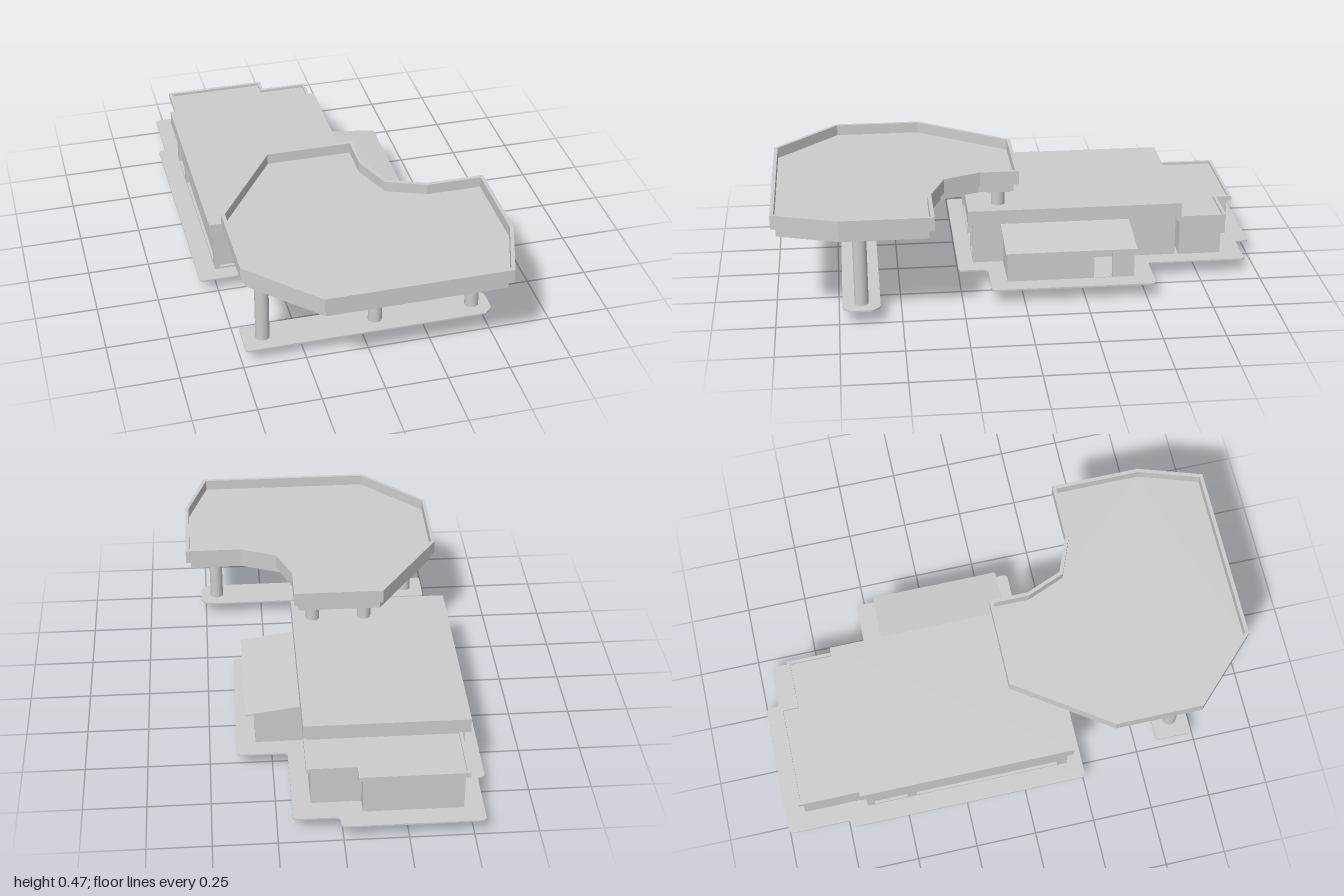
import * as THREE from 'three';

const material = new THREE.MeshStandardMaterial({ color: 0xcccccc, flatShading: true });
const smooth = new THREE.MeshStandardMaterial({ color: 0xcccccc });

function add(parent, name, geometry, mat = material) {
  const mesh = new THREE.Mesh(geometry, mat);
  mesh.name = name;
  parent.add(mesh);
  return mesh;
}

// Box given by its x, y and z ranges
function box(parent, name, [x0, x1], [y0, y1], [z0, z1]) {
  const mesh = add(parent, name, new THREE.BoxGeometry(x1 - x0, y1 - y0, z1 - z0));
  mesh.position.set((x0 + x1) / 2, (y0 + y1) / 2, (z0 + z1) / 2);
  return mesh;
}

// Move every edge of an outline inwards by d
function inset(points, d) {
  const area = points.reduce((sum, [x, y], i) => {
    const [u, v] = points[(i + 1) % points.length];
    return sum + x * v - u * y;
  }, 0);
  const s = Math.sign(area);
  return points.map((p, i) => {
    const a = points[(i + points.length - 1) % points.length];
    const b = points[(i + 1) % points.length];
    const normal = (p, q) => new THREE.Vector2(-(q[1] - p[1]) * s, (q[0] - p[0]) * s).normalize();
    const n = normal(a, p), m = normal(p, b);
    const k = d / (1 + n.dot(m));
    return [p[0] + (n.x + m.x) * k, p[1] + (n.y + m.y) * k];
  });
}

// Outline with optional rounded corners
function outline(points, r = 0) {
  const v = points.map(([x, y]) => new THREE.Vector2(x, y));
  if (!r) return new THREE.Shape(v);
  const shape = new THREE.Shape();
  v.forEach((p, i) => {
    const toward = q => p.clone().add(q.clone().sub(p).setLength(r));
    const a = toward(v[(i + v.length - 1) % v.length]);
    const b = toward(v[(i + 1) % v.length]);
    if (i) shape.lineTo(a.x, a.y); else shape.moveTo(a.x, a.y);
    shape.quadraticCurveTo(p.x, p.y, b.x, b.y);
  });
  shape.closePath();
  return shape;
}

// Horizontal slab from an (x, z) outline, between two heights
function slab(parent, name, shape, y0, y1) {
  const g = new THREE.ExtrudeGeometry(shape, { depth: y1 - y0, bevelEnabled: false, curveSegments: 4 });
  g.rotateX(Math.PI / 2).translate(0, y1, 0);
  return add(parent, name, g);
}

// Flat roof with a raised rim around it
function tray(parent, name, points, y0, floor, y1, rim) {
  slab(parent, name + 'Deck', outline(inset(points, rim)), y0, floor);
  const ring = outline(points);
  ring.holes.push(outline(inset(points, rim)));
  slab(parent, name + 'Rim', ring, y0, y1);
}

const rect = (x0, x1, y0, y1) => [[x0, y0], [x1, y0], [x1, y1], [x0, y1]];

// Upright wall sheet facing +z with rectangular openings, at depth t
function wall(parent, name, [u0, u1], [y0, y1], openings, t) {
  const shape = outline(rect(u0, u1, y0, y1));
  openings.forEach(o => shape.holes.push(outline(rect(...o))));
  return add(parent, name, new THREE.ExtrudeGeometry(shape, { depth: t, bevelEnabled: false }));
}

function buildCanopy() {
  const canopy = new THREE.Group();
  canopy.name = 'canopy';
  const edge = [[-0.24, 0], [0.13, 0], [0.13, 0.16], [0.19, 0.31], [0.34, 0.37], [0.575, 0.37],
    [0.575, 0.74], [0.49, 1], [-0.24, 1], [-0.5, 0.74], [-0.5, 0.38]];
  tray(canopy, 'canopy', edge, 0.417, 0.43, 0.475, 0.015);
  slab(canopy, 'canopySoffit', outline(inset(edge, 0.02)), 0.38, 0.417);

  // Columns with square cap plates: front row on the island, back pair on the roof
  const columns = [[-0.405, 0.66, 0.058], [0.05, 0.66, 0.058], [0.45, 0.66, 0.058],
    [-0.167, 0.08, 0.305], [0.05, 0.08, 0.305]];
  for (const [x, z, y] of columns) {
    const h = 0.374 - y;
    const c = add(canopy, 'column', new THREE.CylinderGeometry(0.028, 0.028, h, 24), smooth);
    c.position.set(x, y + h / 2, z);
    box(canopy, 'columnCap', [x - 0.049, x + 0.049], [0.372, 0.38], [z - 0.049, z + 0.049]);
  }
  slab(canopy, 'columnIsland', outline([[-0.485, 0.585], [0.49, 0.585], [0.52, 0.615], [0.52, 0.705],
    [0.49, 0.735], [-0.485, 0.735]], 0.012), 0.06, 0.067);
  return canopy;
}

function buildHouse() {
  const house = new THREE.Group();
  house.name = 'building';
  const y = [0.067, 0.245];

  // Pavement
  slab(house, 'pavement', outline([[-0.545, -1], [0.01, -1], [0.01, -0.945], [0.19, -0.945], [0.19, -0.535],
    [0.39, -0.535], [0.39, 0.135], [0.19, 0.135], [0.19, 0.255], [-0.575, 0.255], [-0.575, -0.74],
    [-0.545, -0.74]], 0.018), 0.06, 0.067);

  // Main hall: core box, with window walls on the front and right sides
  box(house, 'hallCore', [-0.488, 0.115], y, [-0.66, 0.178]);
  const front = wall(house, 'frontWall', [-0.5, 0.115], y,
    [[-0.48, -0.2, 0.075, 0.21], [-0.185, -0.055, 0.07, 0.21], [-0.04, 0.095, 0.075, 0.21]], 0.012);
  front.position.z = 0.178;
  const side = wall(house, 'sideWall', [-0.66, 0.178], y,
    [[-0.63, -0.49, 0.075, 0.21], [-0.45, 0.15, 0.075, 0.21]], 0.012);
  side.rotation.y = -Math.PI / 2;
  side.position.x = -0.488;
  box(house, 'doorLamp', [-0.135, -0.105], [0.21, 0.217], [0.188, 0.196]);
  box(house, 'hallRoof', [-0.52, 0.135], [0.245, 0.305], [-0.68, 0.21]);

  // Rear wing with its rimmed lower roof
  const wing = [[-0.485, -0.66], [-0.485, -0.935], [-0.06, -0.935], [-0.06, -0.87], [0.135, -0.87], [0.135, -0.66]];
  tray(house, 'rearRoof', wing, 0.225, 0.235, 0.246, 0.013);
  slab(house, 'rearWing', outline(inset(wing, 0.017)), 0.067, 0.23);

  // Side annex: wall with an arched doorway, two end walls and a sloping roof
  const annex = outline(rect(-0.065, 0.455, 0.067, 0.205));
  const door = new THREE.Path();
  door.moveTo(0.29, 0.069);
  door.lineTo(0.365, 0.069);
  door.lineTo(0.365, 0.172);
  door.quadraticCurveTo(0.365, 0.185, 0.352, 0.185);
  door.lineTo(0.303, 0.185);
  door.quadraticCurveTo(0.29, 0.185, 0.29, 0.172);
  annex.holes.push(door);
  const annexWall = add(house, 'annexWall', new THREE.ExtrudeGeometry(annex, { depth: 0.015, bevelEnabled: false }));
  annexWall.rotation.y = Math.PI / 2;
  annexWall.position.x = 0.3;
  const gable = outline([[0.11, 0.067], [0.315, 0.067], [0.315, 0.205], [0.11, 0.236]]);
  for (const z of [-0.455, 0.05]) {
    add(house, 'annexEndWall', new THREE.ExtrudeGeometry(gable, { depth: 0.015, bevelEnabled: false })).position.z = z;
  }
  const pitch = outline([[0.11, 0.233], [0.355, 0.2], [0.355, 0.207], [0.11, 0.242]]);
  add(house, 'annexRoof', new THREE.ExtrudeGeometry(pitch, { depth: 0.535, bevelEnabled: false })).position.z = -0.46;

  // Service fittings below the pavement
  box(house, 'drainBox', [-0.155, -0.065], [0.046, 0.06], [-0.635, -0.595]);
  box(house, 'sumpUpper', [-0.205, -0.152], [0.022, 0.06], [-0.835, -0.73]);
  box(house, 'sumpLower', [-0.195, -0.155], [0, 0.022], [-0.83, -0.735]);
  return house;
}

export function createModel() {
  const model = new THREE.Group();
  model.name = 'fillingStation';
  model.add(buildCanopy(), buildHouse());
  return model;
}
